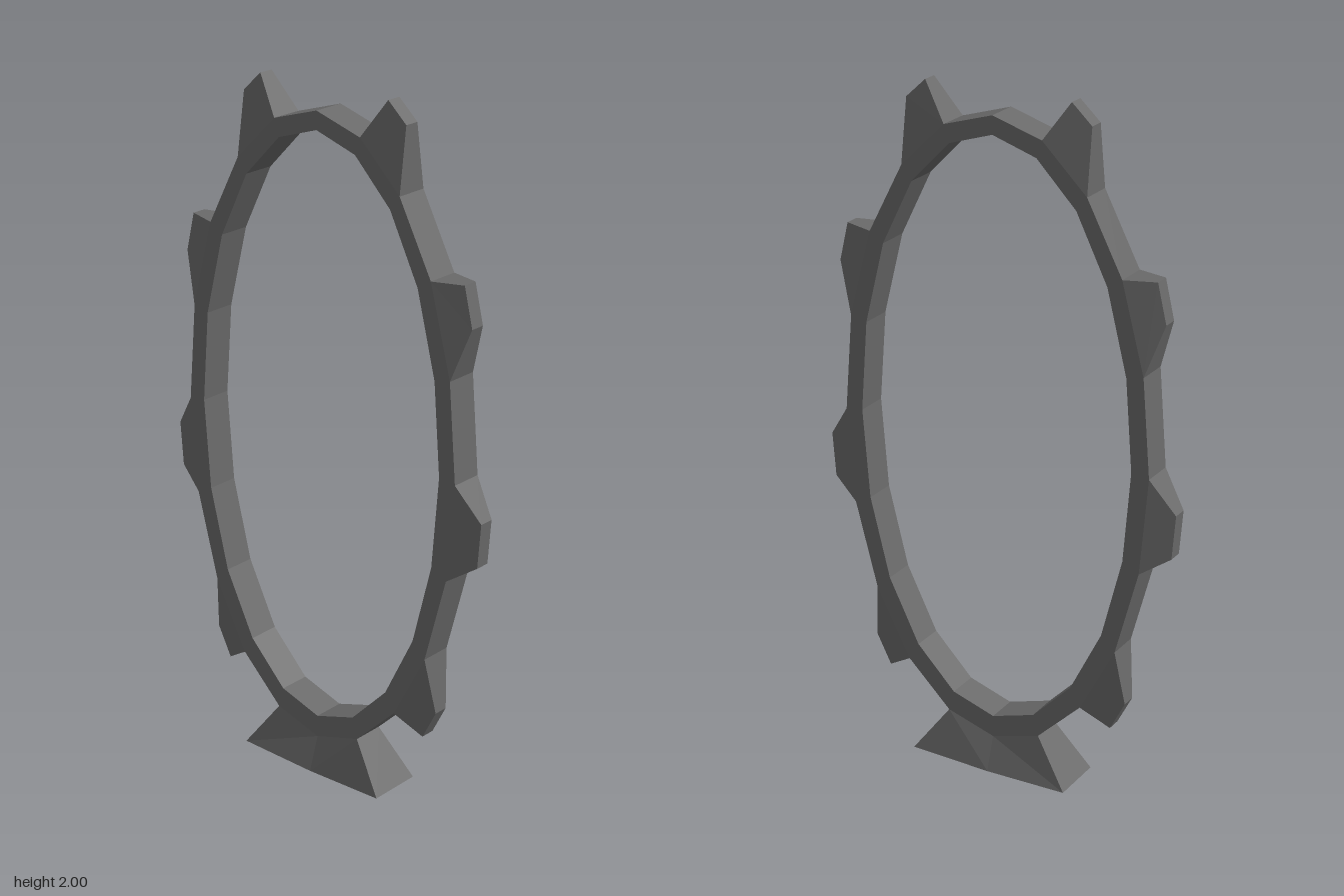
import * as THREE from 'three';

const SIDES = 20, RING_Z = 0.048, TOOTH_Z = 0.022, BASE_Z = 0.081;

// Corner i of a 20-sided ellipse, clockwise from the top
function corner(i, rx, ry, cy) {
  const a = (i / SIDES) * Math.PI * 2;
  return [rx * Math.sin(a), cy + ry * Math.cos(a)];
}
const outer = (i) => corner(i, 0.48, 0.92, 1.02);
const inner = (i) => corner(i, 0.427, 0.861, 1.027);

// Tapered block from a run of ring corners (root) to matching outer points (tip)
function taperedBlock(root, tip, rootZ, tipZ) {
  const pos = [];
  const quad = (a, b, c, d) => pos.push(...a, ...b, ...c, ...a, ...c, ...d);
  const R = (i, s) => [...root[i], s * rootZ];
  const T = (i, s) => [...tip[i], s * tipZ];
  const n = root.length - 1;
  for (let i = 0; i < n; i++) {
    quad(R(i, 1), R(i + 1, 1), T(i + 1, 1), T(i, 1));
    quad(R(i, -1), T(i, -1), T(i + 1, -1), R(i + 1, -1));
    quad(T(i, 1), T(i + 1, 1), T(i + 1, -1), T(i, -1));
  }
  quad(R(0, -1), R(0, 1), T(0, 1), T(0, -1));
  quad(R(n, 1), R(n, -1), T(n, -1), T(n, 1));
  const geo = new THREE.BufferGeometry();
  geo.setAttribute('position', new THREE.Float32BufferAttribute(pos, 3));
  geo.computeVertexNormals();
  return geo;
}

export function createModel() {
  const group = new THREE.Group();
  const material = new THREE.MeshStandardMaterial({ color: 0x6a6a6a, flatShading: true });
  const add = (name, geo) => {
    const mesh = new THREE.Mesh(geo, material);
    mesh.name = name;
    group.add(mesh);
  };

  // Oval ring: clockwise outline, counter-clockwise hole so the inner wall faces inwards
  const loop = (fn) => Array.from({ length: SIDES }, (_, i) => new THREE.Vector2(...fn(i)));
  const shape = new THREE.Shape(loop(outer));
  shape.holes.push(new THREE.Path(loop(inner).reverse()));
  const ring = new THREE.ExtrudeGeometry(shape, { depth: RING_Z * 2, bevelEnabled: false });
  ring.translate(0, 0, -RING_Z);
  add('ring', ring);

  // Teeth: first ring corner, then the two tip points
  const teeth = [
    [1, [0.22, 2.0], [0.28, 1.945]],
    [3, [0.478, 1.563], [0.505, 1.45]],
    [5, [0.55, 0.92], [0.54, 0.79]],
    [7, [0.41, 0.31], [0.365, 0.222]],
  ];
  const mirror = (pts) => pts.map(([x, y]) => [-x, y]).reverse();
  teeth.forEach(([i, a, b], k) => {
    const root = [outer(i), outer(i + 1)], tip = [a, b];
    add(`leftTooth${k + 1}`, taperedBlock(root, tip, RING_Z, TOOTH_Z));
    add(`rightTooth${k + 1}`, taperedBlock(mirror(root), mirror(tip), RING_Z, TOOTH_Z));
  });

  // Flared foot under the two lowest ring segments
  add('base', taperedBlock(
    [outer(9), outer(10), outer(11)],
    [[0.25, 0.006], [0, 0], [-0.25, 0.006]],
    RING_Z, BASE_Z));

  return group;
}
